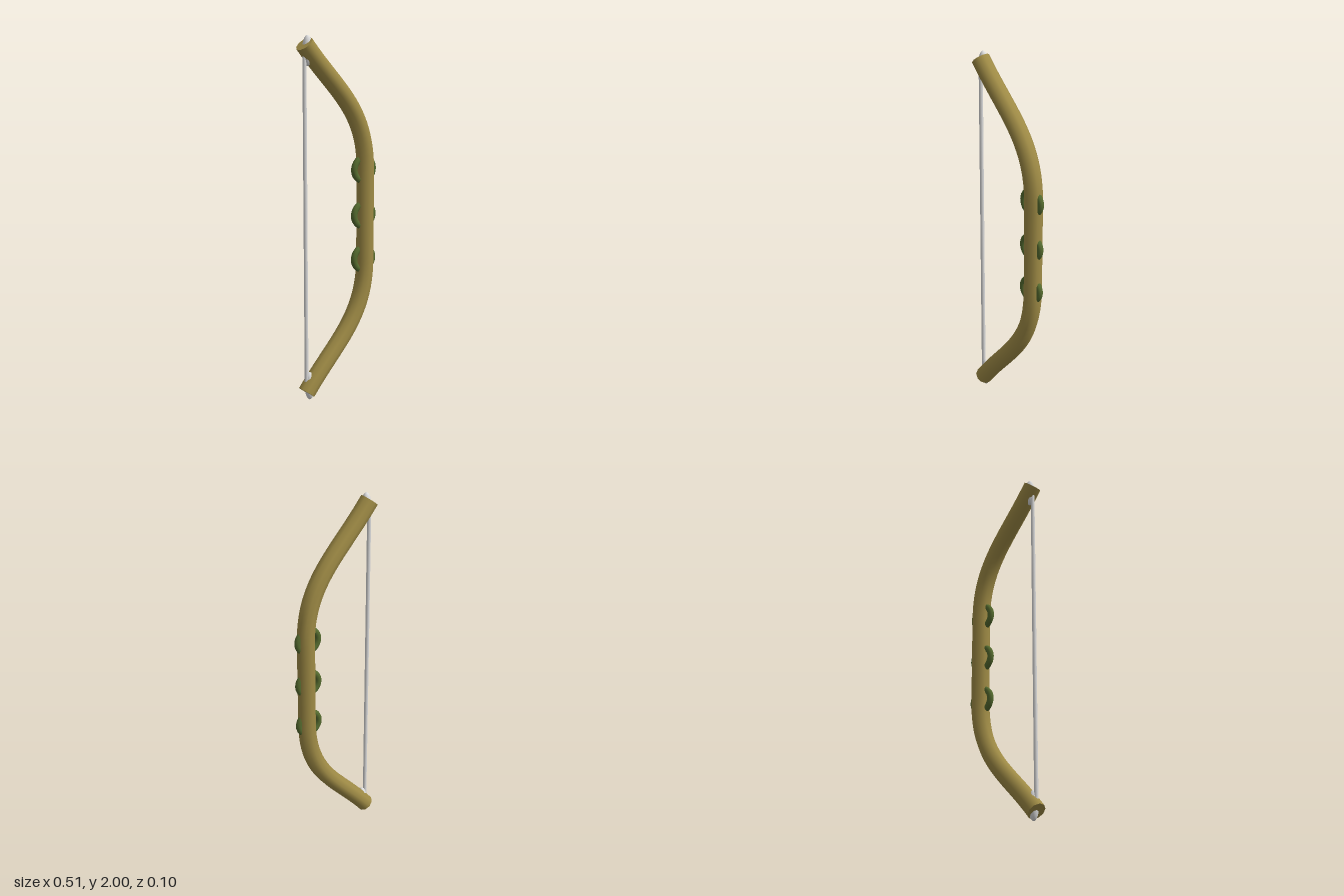
import * as THREE from 'three';

const wood = new THREE.MeshStandardMaterial({ color: 0xa08c46 });
wood.name = 'wood';
const green = new THREE.MeshStandardMaterial({ color: 0x556b2f });
green.name = 'olive green';
const white = new THREE.MeshStandardMaterial({ color: 0xdcdcdc });
white.name = 'string white';

const RADIUS = 0.05;
const SIDES = 10;

function add(group, name, geometry, material, x = 0, y = 0, z = 0) {
  const mesh = new THREE.Mesh(geometry, material);
  mesh.name = name;
  mesh.position.set(x, y, z);
  group.add(mesh);
  return mesh;
}

export function createModel() {
  const bow = new THREE.Group();
  bow.name = 'bow';
  const v = (x, y) => new THREE.Vector3(x, y, 0);

  // Bow stave: curved lower limb, straight grip, curved upper limb
  const path = new THREE.CurvePath();
  path.add(new THREE.CubicBezierCurve3(v(-0.22, 0.045), v(-0.02, 0.3), v(0.185, 0.4), v(0.185, 0.75)));
  path.add(new THREE.LineCurve3(v(0.185, 0.75), v(0.185, 1.25)));
  path.add(new THREE.CubicBezierCurve3(v(0.185, 1.25), v(0.185, 1.6), v(-0.02, 1.7), v(-0.22, 1.955)));
  add(bow, 'stave', new THREE.TubeGeometry(path, 64, RADIUS, SIDES, false), wood);

  // Flat caps on both limb ends
  for (const t of [0, 1]) {
    const end = path.getPointAt(t);
    const outward = path.getTangentAt(t).multiplyScalar(t ? 1 : -1);
    const cap = add(bow, t ? 'upperLimbEnd' : 'lowerLimbEnd',
      new THREE.CircleGeometry(RADIUS, SIDES, Math.PI / 2), wood, end.x, end.y);
    // Turn the disc so that its corners meet those of the tube
    const side = new THREE.Vector3(0, 0, 1);
    const across = new THREE.Vector3().crossVectors(side, outward);
    cap.quaternion.setFromRotationMatrix(new THREE.Matrix4().makeBasis(across, side.negate(), outward));
    if (across.clone().cross(side).dot(outward) < 0) {
      cap.quaternion.setFromRotationMatrix(new THREE.Matrix4().makeBasis(across.negate(), side, outward));
    }
  }

  // Grip rings
  for (const y of [0.75, 1, 1.257]) {
    add(bow, 'gripRing', new THREE.TorusGeometry(0.064, 0.018, 10, 28), green, 0.173, y);
  }

  // Bowstring and the long knots that hold it
  add(bow, 'bowstring', new THREE.CylinderGeometry(0.011, 0.011, 1.88, 10), white, -0.22, 1);
  for (const y of [0.08, 1.92]) {
    const knot = add(bow, 'stringKnot', new THREE.SphereGeometry(1, 20, 16), white, -0.2, y);
    knot.scale.set(0.028, 0.08, 0.028);
  }
  return bow;
}
